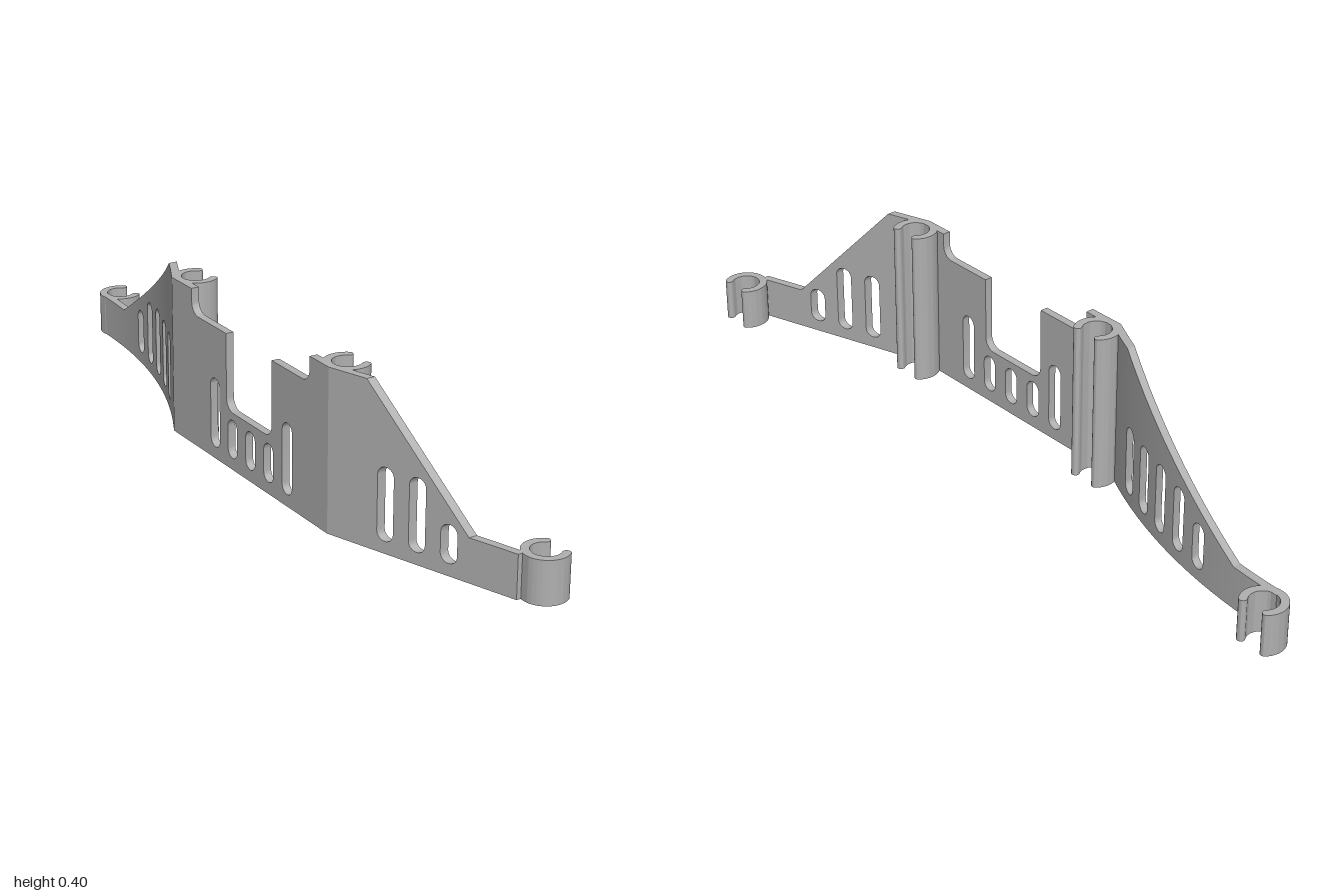
import * as THREE from 'three';
import { toCreasedNormals } from 'three/addons/utils/BufferGeometryUtils.js';

const HALF = 0.01;                       // half of the wall thickness
const FRONT_BEND = 0.45, BACK_BEND = -0.245;
const FRONT_END = 0.935, BACK_END = -0.95;

// Centre line of the wall in plan: straight front wing, flat middle, arched back wing
function pathX(z) {
  if (z > FRONT_BEND) return -0.123 + (z - FRONT_BEND) * 0.337;
  if (z >= BACK_BEND) return -0.123;
  const R = 1.508, d = z - BACK_END;
  return 0.052 - (R - Math.sqrt(R * R - d * d));
}

// Quarter-round inner corner, from the vertical side to the floor
function fillet(z, y, r, dir) {
  const pts = [];
  for (let i = 0; i <= 8; i++) {
    const t = (i / 8) * Math.PI / 2;
    pts.push([z + dir * r * (1 - Math.cos(t)), y + r * (1 - Math.sin(t))]);
  }
  return dir > 0 ? pts : pts.reverse();
}

// Top edge of the wall as [z, y], back to front
const E = 1e-4;
const topEdge = [
  [BACK_END, 0.107], [-0.815, 0.107], [-0.34, 0.4], [-0.15 - E, 0.4],
  ...fillet(-0.15, 0.337, 0.03, 1),
  [0.01 - E, 0.337],
  ...fillet(0.01, 0.146, 0.03, 1),
  ...fillet(0.213, 0.146, 0.03, -1),
  [0.213 + E, 0.337],
  ...fillet(0.373, 0.337, 0.03, -1),
  [0.373 + E, 0.4], [0.55, 0.4], [0.815, 0.107], [FRONT_END, 0.107],
];

function topY(z) {
  for (let i = 1; i < topEdge.length; i++) {
    const [z0, y0] = topEdge[i - 1], [z1, y1] = topEdge[i];
    if (z <= z1) return y0 + (y1 - y0) * (z - z0) / (z1 - z0);
  }
  return 0.107;
}

// Vent slots: [centre z, top y], all starting at the same height
const SLOT_R = 0.021, SLOT_Y = 0.03;
const slots = [
  [0.766, 0.122], [0.685, 0.207], [0.603, 0.207],
  [0.28, 0.207], [0.199, 0.127], [0.118, 0.127], [0.037, 0.127], [-0.043, 0.207],
  [-0.37, 0.207], [-0.45, 0.207], [-0.53, 0.207], [-0.61, 0.196], [-0.69, 0.147],
];

// Wall built from columns between neighbouring z stations
function wallGeometry() {
  const pos = [];
  const quad = (a, b, c, d) => pos.push(...a, ...b, ...c, ...a, ...c, ...d);
  const side = (z, s) => {
    const slope = (pathX(z + 0.005) - pathX(z - 0.005)) / 0.01;
    return pathX(z) + s * HALF * Math.hypot(1, slope);
  };
  const p = (z, s, y) => [side(z, s), y, z];

  const stations = [FRONT_BEND, BACK_BEND, ...topEdge.map((q) => q[0])];
  for (let i = 1; i < 24; i++) stations.push(BACK_END + (BACK_BEND - BACK_END) * i / 24);
  for (const [c] of slots)
    for (let i = 0; i <= 16; i++) stations.push(c - SLOT_R * Math.cos(i * Math.PI / 16));
  stations.sort((a, b) => a - b);
  const zs = stations.filter((z, i) => i === 0 || z - stations[i - 1] > 1e-6);

  // One solid block of a column with lower edge lo(z) and upper edge hi(z)
  const block = (z0, z1, lo, hi) => {
    const l0 = lo(z0), l1 = lo(z1), h0 = hi(z0), h1 = hi(z1);
    quad(p(z1, 1, l1), p(z0, 1, l0), p(z0, 1, h0), p(z1, 1, h1));
    quad(p(z0, -1, l0), p(z1, -1, l1), p(z1, -1, h1), p(z0, -1, h0));
    quad(p(z1, -1, h1), p(z1, 1, h1), p(z0, 1, h0), p(z0, -1, h0));
    quad(p(z0, -1, l0), p(z0, 1, l0), p(z1, 1, l1), p(z1, -1, l1));
  };
  // Upright face looking along +z or -z
  const cap = (z, lo, hi, dir) => {
    const c = [p(z, -1, lo), p(z, 1, lo), p(z, 1, hi), p(z, -1, hi)];
    quad(...(dir > 0 ? c : c.reverse()));
  };

  const floor = () => 0;
  for (let i = 1; i < zs.length; i++) {
    const z0 = zs[i - 1], z1 = zs[i], mid = (z0 + z1) / 2;
    const slot = slots.find(([c]) => Math.abs(mid - c) < SLOT_R);
    if (!slot) { block(z0, z1, floor, topY); continue; }
    const bow = (z) => SLOT_R - Math.sqrt(Math.max(0, SLOT_R ** 2 - (z - slot[0]) ** 2));
    block(z0, z1, floor, (z) => SLOT_Y + bow(z));
    block(z0, z1, (z) => slot[1] - bow(z), topY);
  }
  for (const [c, top] of slots) {
    cap(c - SLOT_R, SLOT_Y + SLOT_R, top - SLOT_R, 1);
    cap(c + SLOT_R, SLOT_Y + SLOT_R, top - SLOT_R, -1);
  }
  cap(BACK_END, 0, 0.107, -1);
  cap(FRONT_END, 0, 0.107, 1);

  const g = new THREE.BufferGeometry();
  g.setAttribute('position', new THREE.Float32BufferAttribute(pos, 3));
  return toCreasedNormals(g, 0.25);
}

// C-shaped clip with rounded lips, open towards +x
function clipGeometry(height) {
  const a = 0.9, mid = 0.045, r = 0.01, PI = Math.PI;
  const cx = mid * Math.cos(a), cy = mid * Math.sin(a);
  const s = new THREE.Shape();
  s.absarc(0, 0, mid + r, a, 2 * PI - a, false);
  s.absarc(cx, -cy, r, -a, PI - a, false);
  s.absarc(0, 0, mid - r, 2 * PI - a, a, true);
  s.absarc(cx, cy, r, a + PI, a + 2 * PI, false);
  const g = new THREE.ExtrudeGeometry(s, { depth: height, bevelEnabled: false, curveSegments: 28 });
  g.rotateX(-PI / 2);
  return toCreasedNormals(g, 0.5);
}

export function createModel() {
  const grey = new THREE.MeshStandardMaterial({ color: 0xb0b0b0 });
  grey.name = 'grey';
  const model = new THREE.Group();
  model.name = 'clipBracket';

  const add = (name, geometry, x = 0, z = 0) => {
    const mesh = new THREE.Mesh(geometry, grey);
    mesh.name = name;
    mesh.position.set(x, 0, z);
    model.add(mesh);
  };

  add('slottedWall', wallGeometry());
  const shortClip = clipGeometry(0.107), tallClip = clipGeometry(0.4);
  add('frontEndClip', shortClip, 0.095, 0.945);
  add('backEndClip', shortClip, 0.095, -0.945);
  add('frontTallClip', tallClip, -0.078, 0.44);
  add('backTallClip', tallClip, -0.078, -0.225);
  return model;
}
